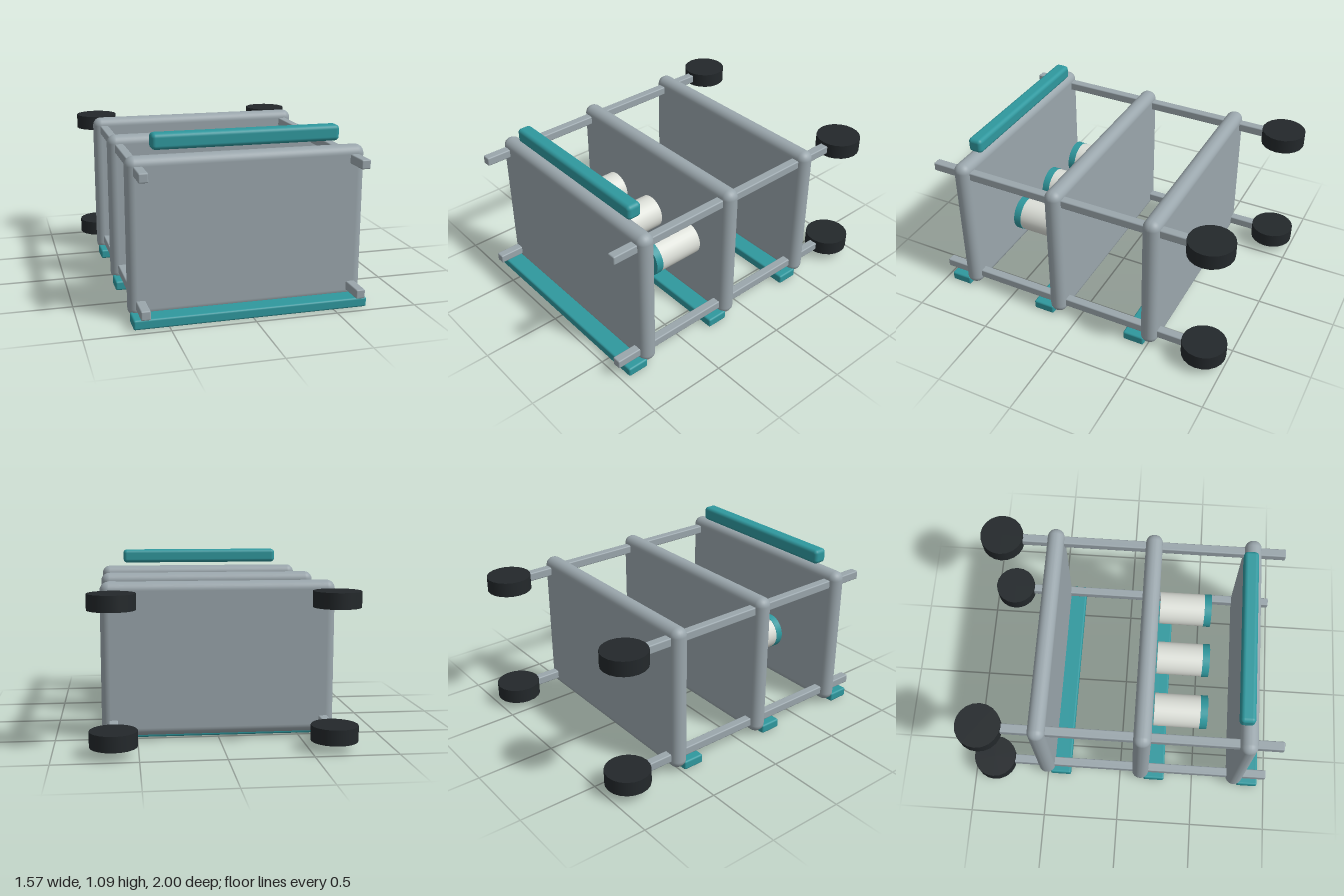
import * as THREE from 'three';
import { RoundedBoxGeometry } from 'three/addons/geometries/RoundedBoxGeometry.js';

const paint = (color) => new THREE.MeshStandardMaterial({ color });

export function createModel() {
  const group = new THREE.Group();
  const metal = paint(0x9aa6ac);
  const teal = paint(0x2f989e);
  const rubber = paint(0x23282b);
  const cream = paint(0xdcdfd8);

  const add = (name, geometry, material, x, y, z) => {
    const mesh = new THREE.Mesh(geometry, material);
    mesh.name = name;
    mesh.position.set(x, y, z);
    group.add(mesh);
    return mesh;
  };

  // Three shelf panels, each with a lip along one edge
  const shelf = new RoundedBoxGeometry(1.43, 0.944, 0.11, 4, 0.053);
  const lip = new RoundedBoxGeometry(1.415, 0.06, 0.14, 3, 0.012);
  for (const z of [0.785, 0.14, -0.505]) {
    add('shelf', shelf, metal, 0, 0.5, z);
    add('shelfLip', lip, teal, 0, 0.033, z + 0.095);
  }

  // Four posts with a wheel at the back end of each
  const post = new RoundedBoxGeometry(0.056, 0.056, 1.8, 2, 0.008);
  const wheel = new THREE.CylinderGeometry(0.14, 0.14, 0.094, 20);
  for (const x of [-0.645, 0.645]) {
    for (const y of [0.106, 0.893]) {
      add('post', post, metal, x, y, 0.1);
      add('wheel', wheel, rubber, x, y, -0.86);
    }
  }

  // Push handle
  add('handle', new RoundedBoxGeometry(1.12, 0.094, 0.094, 4, 0.025), teal, 0, 1.045, 0.757);

  // Row of three lidded cups
  const cup = new THREE.CylinderGeometry(0.109, 0.109, 0.3, 32).rotateX(Math.PI / 2);
  const lid = new THREE.CylinderGeometry(0.111, 0.111, 0.047, 32).rotateX(Math.PI / 2);
  for (const x of [-0.34, 0.022, 0.387]) {
    add('cup', cup, cream, x, 0.498, 0.357);
    add('cupLid', lid, teal, x, 0.498, 0.53);
  }

  return group;
}
